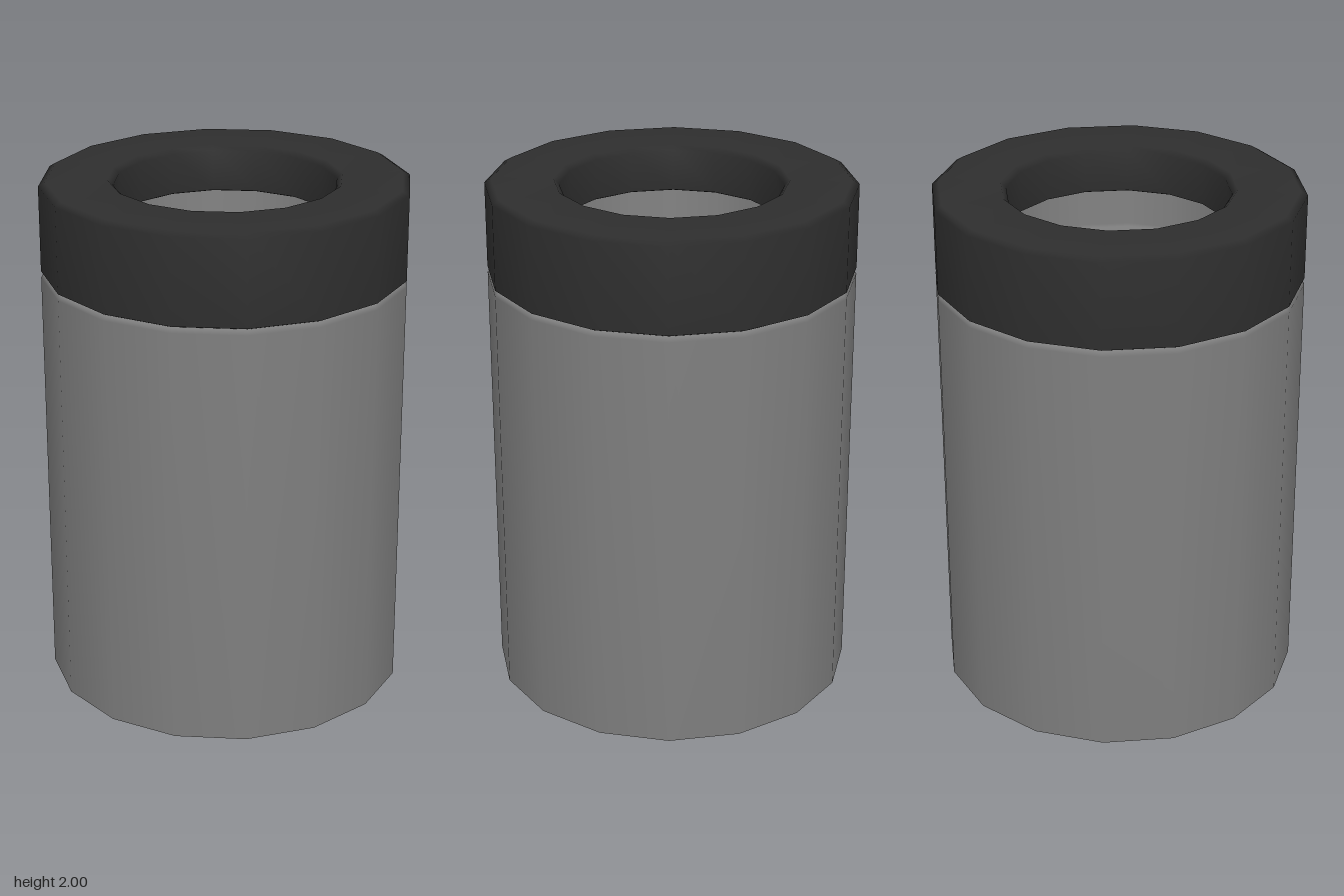
import * as THREE from 'three';

const SIDES = 16;

// Revolve a bottom-to-top outline of [radius, height] pairs
function turned(name, color, outline) {
  const points = outline.map(([r, y]) => new THREE.Vector2(r, y));
  const mesh = new THREE.Mesh(
    new THREE.LatheGeometry(points, SIDES),
    new THREE.MeshStandardMaterial({ color })
  );
  mesh.name = name;
  return mesh;
}

export function createModel() {
  const group = new THREE.Group();
  group.name = 'liddedCanister';

  // Canister with softened edges, a collar under the lid and a recessed top
  group.add(turned('body', 0x7f7f7f, [
    [0, 0], [0.66, 0], [0.69, 0.015], [0.69, 1.635], [0.675, 1.65],
    [0.61, 1.65], [0.60, 1.66], [0.60, 1.81], [0.59, 1.82],
    [0.46, 1.82], [0.45, 1.81], [0.45, 1.675], [0.44, 1.665], [0, 1.665],
  ]));

  // Ring-shaped lid, hollow underneath so it fits over the collar
  group.add(turned('lid', 0x2e2e2e, [
    [0.61, 1.82], [0.61, 1.665], [0.62, 1.655], [0.68, 1.655], [0.69, 1.66],
    [0.69, 1.985], [0.665, 2], [0.435, 2], [0.415, 1.98],
    [0.415, 1.825], [0.425, 1.82], [0.61, 1.82],
  ]));

  return group;
}
